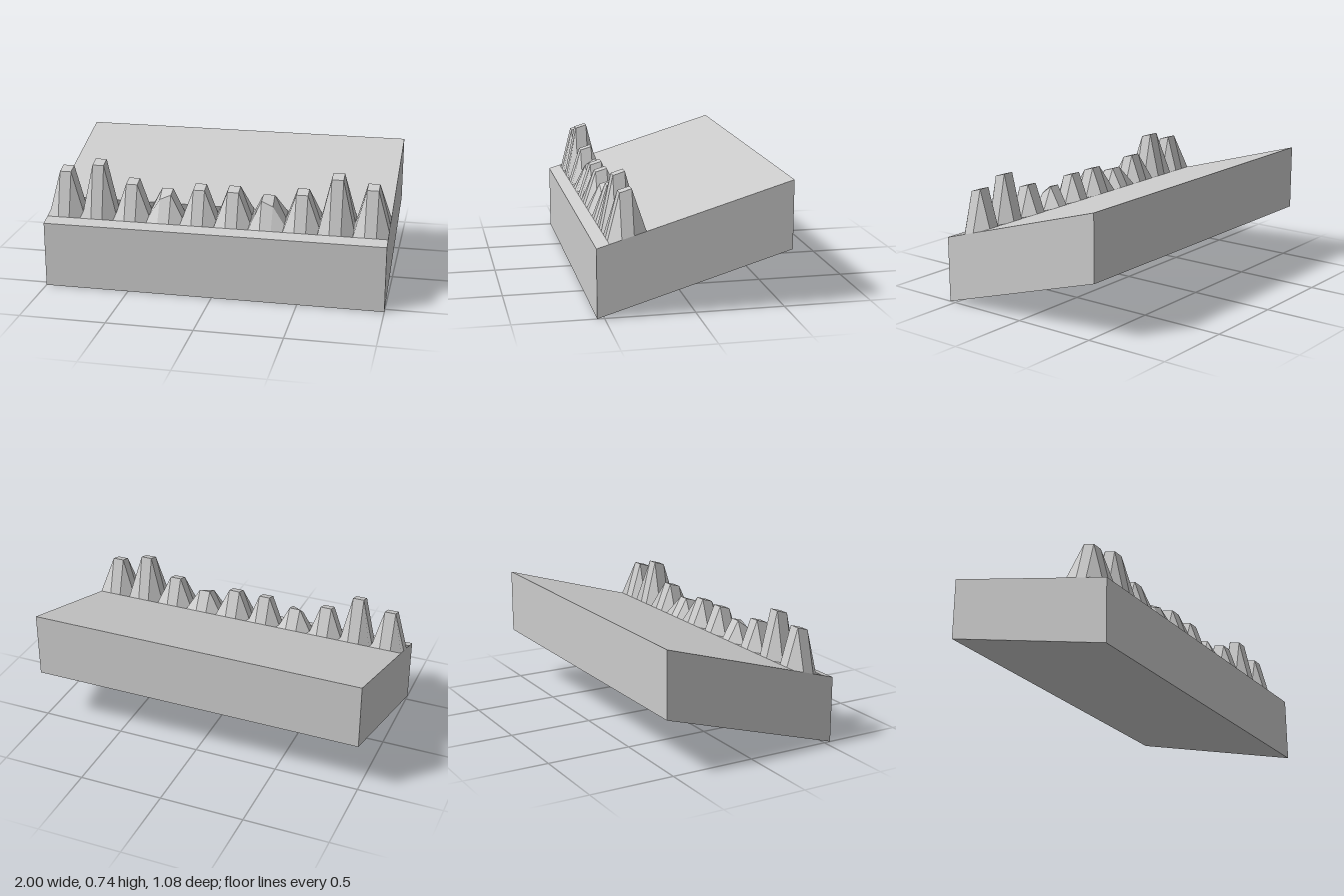
import * as THREE from 'three';

const material = new THREE.MeshStandardMaterial({ color: 0xcccccc });
const SLOPE = 0.3;
const topY = (z) => 0.55 - SLOPE * z;
const bottomY = (z) => 0.162 - SLOPE * z;

// Builds a mesh from quads [a, b, c, d] (counter-clockwise), split along a-c,
// with one normal for each quad so that it is shaded as a single facet.
function quadMesh(name, quads) {
  const positions = [], normals = [];
  for (const [a, b, c, d] of quads) {
    const n = c.clone().sub(a).cross(d.clone().sub(b)).normalize();
    for (const p of [a, b, c, a, c, d]) {
      positions.push(p.x, p.y, p.z);
      normals.push(n.x, n.y, n.z);
    }
  }
  const geometry = new THREE.BufferGeometry();
  geometry.setAttribute('position', new THREE.Float32BufferAttribute(positions, 3));
  geometry.setAttribute('normal', new THREE.Float32BufferAttribute(normals, 3));
  const mesh = new THREE.Mesh(geometry, material);
  mesh.name = name;
  return mesh;
}

// Sheared block: the top is left open where the row of teeth sits.
function createBase(half, zFront, zBack, rowFront, rowBack) {
  const top = (x, z) => new THREE.Vector3(x, topY(z), z);
  const low = (x, z) => new THREE.Vector3(x, bottomY(z), z);
  const strip = (z0, z1) => [top(-half, z0), top(half, z0), top(half, z1), top(-half, z1)];
  return quadMesh('slopedBase', [
    strip(zFront, rowFront),
    strip(rowBack, zBack),
    [low(-half, zBack), low(half, zBack), low(half, zFront), low(-half, zFront)],
    [low(-half, zFront), low(half, zFront), top(half, zFront), top(-half, zFront)],
    [low(half, zBack), low(-half, zBack), top(-half, zBack), top(half, zBack)],
    [low(half, zFront), low(half, zBack), top(half, zBack), top(half, zFront)],
    [low(-half, zBack), low(-half, zFront), top(-half, zFront), top(-half, zBack)],
  ]);
}

// One tooth: a 3 x 3 patch of the slope whose middle cell is pulled up.
function createTooth(x0, side, height, frontDrop) {
  const step = 0.2 / 3;
  const point = (i, j) => {
    const x = x0 + i * step, z = 0.47 - j * step;
    const inner = i > 0 && i < 3 && j > 0 && j < 3;
    const outerFront = j === 1 && i === (side < 0 ? 1 : 2);
    const lift = inner ? height - (outerFront ? frontDrop : 0) : 0;
    return new THREE.Vector3(x, topY(z) + lift, z);
  };
  const quads = [];
  for (let j = 0; j < 3; j++) {
    for (let i = 0; i < 3; i++) {
      const [a, b, c, d] = [point(i, j), point(i + 1, j), point(i + 1, j + 1), point(i, j + 1)];
      // Mirror the split direction across the centre line
      quads.push(side < 0 ? [b, c, d, a] : [a, b, c, d]);
    }
  }
  return quadMesh('tooth', quads);
}

export function createModel() {
  const model = new THREE.Group();
  model.name = 'toothedRamp';
  model.add(createBase(1, 0.54, -0.54, 0.47, 0.27));

  // Teeth from the outer end to the middle, mirrored left and right
  const teeth = new THREE.Group();
  teeth.name = 'teeth';
  const heights = [0.24, 0.29, 0.186, 0.136, 0.176];
  heights.forEach((height, k) => {
    const drop = k === 3 ? 0.03 : 0;
    teeth.add(createTooth(-1 + 0.2 * k, -1, height, drop));
    teeth.add(createTooth(0.8 - 0.2 * k, 1, height, drop));
  });
  model.add(teeth);
  return model;
}
